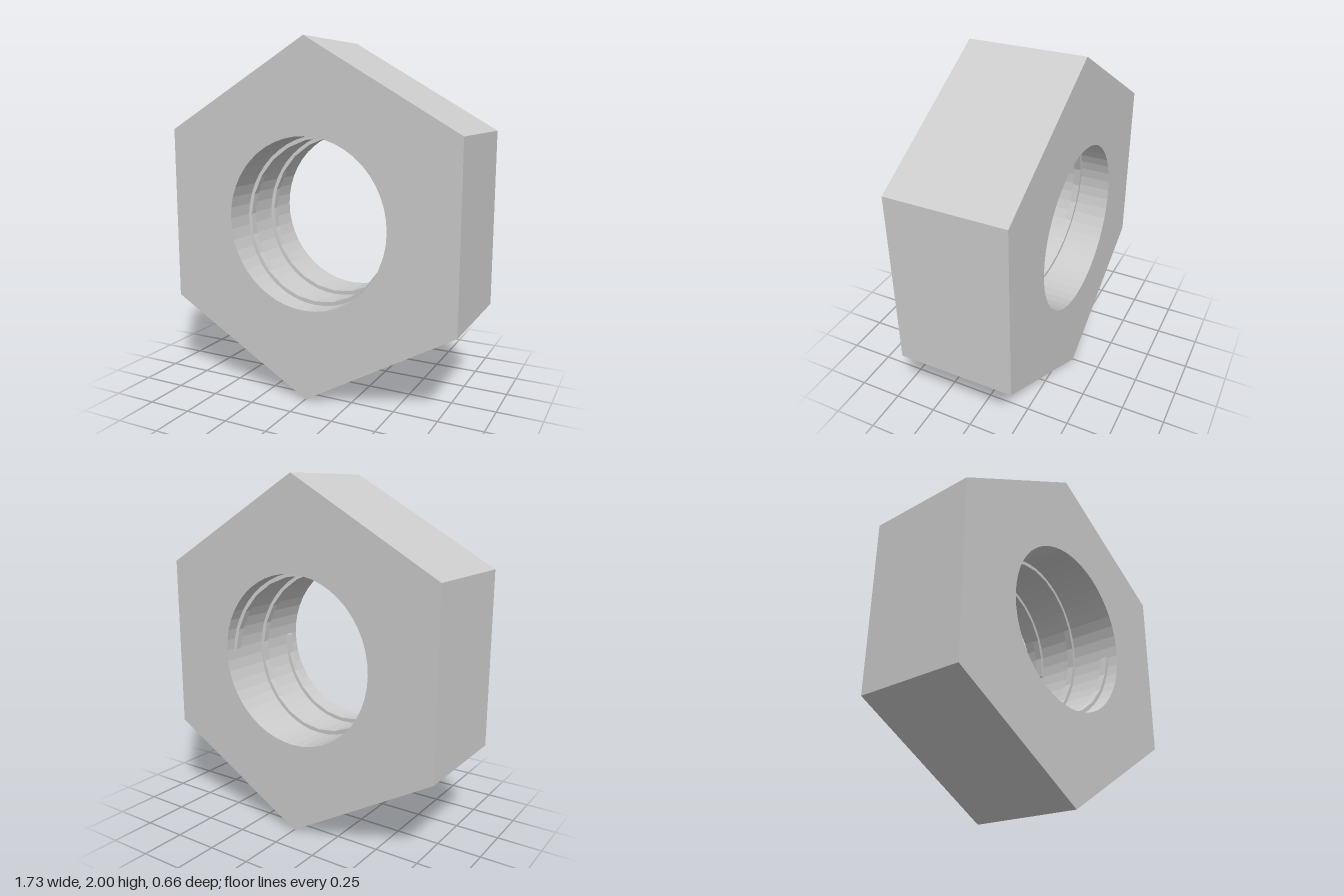
import * as THREE from 'three';

const DEPTH = 0.66, HOLE_R = 0.48, CREST_R = 0.46;

// Hexagonal body with a round bore, point up
function bodyGeometry() {
  const corners = [];
  for (let i = 0; i < 6; i++) {
    const a = Math.PI / 2 + (i * Math.PI) / 3;
    corners.push(new THREE.Vector2(Math.cos(a), Math.sin(a)));
  }
  const shape = new THREE.Shape(corners);
  shape.holes.push(new THREE.Path().absarc(0, 0, HOLE_R, 0, Math.PI * 2, true));
  return new THREE.ExtrudeGeometry(shape, { depth: DEPTH, bevelEnabled: false, curveSegments: 24 })
    .translate(0, 0, -DEPTH / 2);
}

// Rectangular ridge swept along a helix, its outer side sunk into the bore wall
function threadGeometry(turns, length, width, sides) {
  const h = width / 2, rootR = HOLE_R + 0.01, steps = turns * sides;
  const section = [[rootR, -h], [CREST_R, -h], [CREST_R, h], [rootR, h]];
  const positions = [], index = [];
  for (let i = 0; i <= steps; i++) {
    const a = (i / sides) * Math.PI * 2, z = (i / steps - 0.5) * length;
    for (const [r, dz] of section) positions.push(r * Math.cos(a), r * Math.sin(a), z + dz);
    if (i === steps) break;
    for (let j = 0; j < 4; j++) {
      const p = i * 4 + j, q = i * 4 + ((j + 1) % 4);
      index.push(p, q, p + 4, q, q + 4, p + 4);
    }
  }
  // End caps
  const e = steps * 4;
  index.push(0, 2, 1, 0, 3, 2, e, e + 1, e + 2, e, e + 2, e + 3);
  const indexed = new THREE.BufferGeometry();
  indexed.setAttribute('position', new THREE.Float32BufferAttribute(positions, 3));
  indexed.setIndex(index);
  const geometry = indexed.toNonIndexed();
  geometry.computeVertexNormals();
  return geometry;
}

export function createModel() {
  const material = new THREE.MeshStandardMaterial({ color: 0xcccccc, flatShading: true });
  const group = new THREE.Group();
  group.name = 'hexNut';
  const add = (name, geometry) => {
    const mesh = new THREE.Mesh(geometry, material);
    mesh.name = name;
    mesh.position.y = 1;
    group.add(mesh);
  };
  add('nutBody', bodyGeometry());
  add('innerThread', threadGeometry(2, 0.5, 0.04, 24));
  return group;
}
